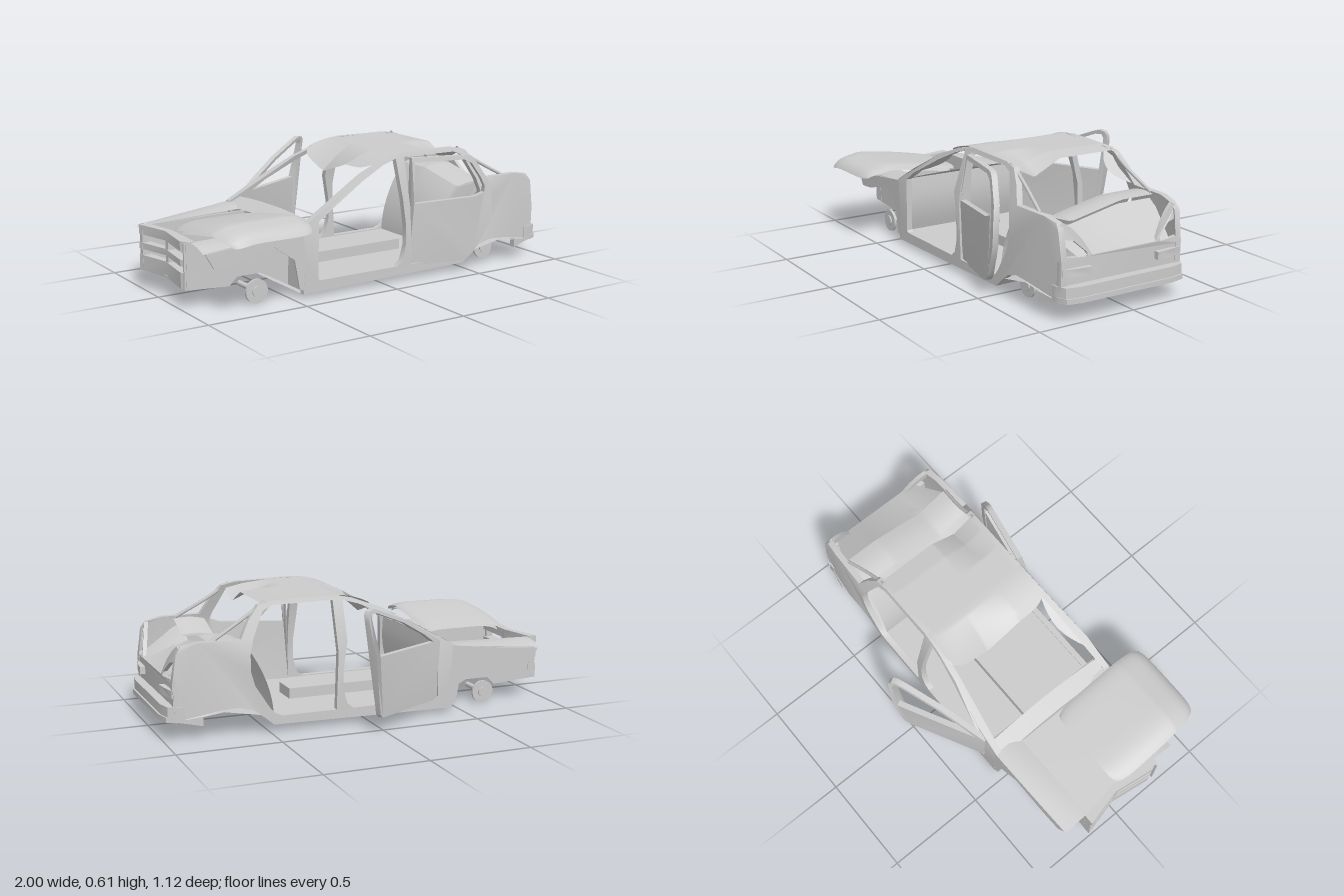
import * as THREE from 'three';
import { ParametricGeometry } from 'three/addons/geometries/ParametricGeometry.js';
import { toCreasedNormals } from 'three/addons/utils/BufferGeometryUtils.js';

const MAT = new THREE.MeshStandardMaterial({ color: 0xcccccc, side: THREE.DoubleSide });
const ZC = 0.03; // centre plane of the body
const V = (p) => p.map(([a, b]) => new THREE.Vector2(a, b));
const lerp = THREE.MathUtils.lerp;

function add(parent, name, geo) {
  const m = new THREE.Mesh(geo, MAT);
  m.name = name;
  parent.add(m);
  return m;
}
function box(parent, name, x0, x1, y0, y1, z0, z1) {
  add(parent, name, new THREE.BoxGeometry(x1 - x0, y1 - y0, z1 - z0))
    .position.set((x0 + x1) / 2, (y0 + y1) / 2, (z0 + z1) / 2);
}
// Extruded outline with holes
function plate(pts, holes, depth) {
  const s = new THREE.Shape(V(pts));
  holes.forEach((h) => s.holes.push(new THREE.Path(V(h))));
  return new THREE.ExtrudeGeometry(s, { depth, bevelEnabled: false });
}
function warp(geo, fn) {
  const p = geo.attributes.position;
  for (let i = 0; i < p.count; i++) p.setXYZ(i, ...fn(p.getX(i), p.getY(i), p.getZ(i)));
  return toCreasedNormals(geo, 0.6);
}
// Surface from a rule over u, v in 0..1
function sheet(parent, name, nu, nv, fn) {
  return add(parent, name, new ParametricGeometry((u, v, t) => t.set(...fn(u, v)), nu, nv));
}
// Bar with an [x, z] outline seen from above
function beam(parent, name, pts, y0, y1) {
  add(parent, name, warp(plate(pts, [], y1 - y0), (x, z, d) => [x, y0 + d, z]));
}
function rod(parent, name, pts, r) {
  const curve = new THREE.CatmullRomCurve3(pts.map((p) => new THREE.Vector3(...p)));
  add(parent, name, new THREE.TubeGeometry(curve, 12, r, 6));
}

// Half width of the body: leaning in above the waist, tapering to both ends
const half = (x, y) => 0.36 - Math.max(0, y - 0.4) * 0.33
  - Math.max(0, x - 0.8) * 0.2 - Math.max(0, -0.45 - x) * 0.04;
const bodyPanel = (pts, holes, t) =>
  warp(plate(pts, holes, t), (x, y, z) => [x, y, half(x, y) - t + z]);

// Bent flange bulging inwards from a pillar between two [x, y] points
function flange(parent, name, [x0, y0], [x1, y1], depth) {
  sheet(parent, name, 10, 3, (u, v) => {
    const x = lerp(x0, x1, u);
    const y = lerp(y0, y1, u) - 0.015 * v * Math.sin(u * Math.PI);
    return [x, y, half(x, y) - 0.02 - v * depth * Math.sin(u * Math.PI)];
  });
}

const SIDE = [[-0.45, 0.02], [0.48, 0.035], [0.52, 0.07], [0.58, 0.115], [0.65, 0.135], [0.74, 0.13],
  [0.82, 0.11], [0.82, 0.065], [0.95, 0.09], [0.955, 0.26], [0.935, 0.4], [0.91, 0.435], [0.83, 0.45],
  [0.63, 0.45], [0.585, 0.53], [0.53, 0.595], [0.46, 0.61], [0.16, 0.615], [0.05, 0.592], [-0.1, 0.535],
  [-0.3, 0.425], [-0.46, 0.335], [-0.44, 0.17]];
const FRONT_OPENING = [[-0.37, 0.085], [-0.36, 0.075], [0.08, 0.075], [0.11, 0.1], [0.13, 0.17], [0.13, 0.27],
  [0.11, 0.4], [0.11, 0.59], [0.03, 0.567], [-0.1, 0.508], [-0.29, 0.405], [-0.365, 0.355]];
const REAR_OPENING = [[0.165, 0.075], [0.44, 0.075], [0.475, 0.09], [0.5, 0.12], [0.57, 0.23], [0.59, 0.3],
  [0.59, 0.38], [0.57, 0.45], [0.51, 0.57], [0.46, 0.59], [0.16, 0.593], [0.155, 0.35]];
const FENDER = [[-0.94, 0.275], [-0.7, 0.3], [-0.45, 0.333], [-0.43, 0.03], [-0.47, 0.05], [-0.495, 0.19],
  [-0.6, 0.265], [-0.72, 0.235], [-0.8, 0.212], [-0.9, 0.205]];
const BAY_WALL = [[-0.985, 0.09], [-0.76, 0.075], [-0.72, 0.115], [-0.6, 0.115], [-0.54, 0.085],
  [-0.45, 0.035], [-0.44, 0.31], [-0.985, 0.305]];
// Underside profile from firewall to tail
const PAN = [[-0.45, 0.02], [0.48, 0.036], [0.53, 0.085], [0.72, 0.12], [0.85, 0.1], [0.955, 0.085]];

// Door in local space: hinge at x = 0, swinging towards +z
function door(parent, name, outline, win, x, z, angle, lean) {
  const g = new THREE.Group();
  g.name = name;
  g.position.set(x, 0, z);
  g.rotation.y = angle;
  const bend = (u, y, d) => [u, y, d - 0.028 - Math.max(0, y - 0.37) * lean - Math.max(0, 0.2 - y) * 0.12];
  add(g, 'doorShell', warp(plate(outline, [win], 0.028), bend));
  parent.add(g);
}

function bodySide(parent, s) {
  const g = new THREE.Group();
  g.name = s > 0 ? 'nearSide' : 'farSide';
  g.position.z = ZC;
  g.scale.z = s;
  parent.add(g);
  add(g, 'sideFrame', bodyPanel(SIDE, [FRONT_OPENING, REAR_OPENING], 0.03));
  add(g, 'fender', bodyPanel(FENDER, [], 0.008));
  add(g, 'engineBayWall', plate(BAY_WALL, [], 0.01)).position.z = 0.208;
  // Creased fender top between bay wall and outer skin
  sheet(g, 'fenderTop', 10, 4, (u, v) => {
    const x = lerp(-0.95, -0.45, u);
    const y = lerp(0.306, 0.32, u) + v * lerp(-0.028, 0.012, u) + 0.006 * Math.sin(v * Math.PI);
    return [x, y, lerp(0.213, half(x, 0.3) - 0.003, v)];
  });
  rod(g, 'rearWindowPillar', [[0.49, 0.605, 0.28], [0.6, 0.535, 0.285], [0.76, 0.445, 0.31]], 0.009);
  // Brake discs with stub axles; the far rear one is torn off
  const discs = [[-0.665, 0.058, 0.16], [0.655, 0.08, 0.05]].slice(0, s > 0 ? 2 : 1);
  for (const [x, y, stub] of discs) {
    const z = 0.285 + 0.015 * s;
    for (const [name, r, h, dz] of [['brakeDisc', 0.057, 0.012, 0], ['hub', 0.025, 0.026, 0], ['stubAxle', 0.013, stub, -stub / 2]]) {
      const d = add(g, name, new THREE.CylinderGeometry(r, r, h, 24));
      d.rotation.x = Math.PI / 2;
      d.position.set(x, y, z + dz);
    }
  }
  if (s > 0) {
    flange(g, 'bentWindscreenPillar', [-0.36, 0.385], [0, 0.57], 0.06);
    door(g, 'rearDoor',
      [[0, 0.065], [0.28, 0.06], [0.32, 0.07], [0.35, 0.1], [0.42, 0.205], [0.443, 0.27], [0.45, 0.36],
        [0.43, 0.45], [0.36, 0.56], [0.34, 0.578], [0.31, 0.585], [0.02, 0.59], [0, 0.38]],
      [[0.02, 0.372], [0.35, 0.382], [0.4, 0.4], [0.405, 0.43], [0.385, 0.475], [0.34, 0.545], [0.3, 0.565], [0.035, 0.568]],
      0.155, 0.36, -0.195, 0.15);
  } else {
    flange(g, 'bentRearPillar', [0.44, 0.605], [0.62, 0.45], 0.07);
    door(g, 'frontDoor',
      [[0, 0.07], [0.42, 0.065], [0.44, 0.08], [0.452, 0.12], [0.488, 0.36], [0.51, 0.53], [0.51, 0.56], [0.497, 0.58],
        [0.47, 0.587], [0.43, 0.575], [0.25, 0.505], [0.1, 0.425], [0, 0.365]],
      [[0.05, 0.367], [0.462, 0.367], [0.49, 0.54], [0.48, 0.565], [0.445, 0.563], [0.26, 0.491], [0.12, 0.415]],
      -0.375, 0.365, -0.475, 0.17);
  }
}

// Bonnet surface: ridge along z = 0.41, falling away to both sides
function bonnet(u, v, inset, drop) {
  const a = u * 2 - 1;
  const b = v * 2 - 1;
  const x = -0.71 + a * (0.23 - inset - 0.02 * b ** 8 - (a < 0 ? 0.03 * v ** 3 : 0));
  const z = 0.29 + b * (0.272 - inset - 0.015 * a ** 8);
  const fall = z < 0.41 ? 0.06 * ((0.41 - z) / 0.38) ** 1.3
    : 0.025 * (z - 0.41) / 0.15 + 0.035 * ((z - 0.41) / 0.15) ** 6;
  const nose = a < 0 ? 0.035 * a ** 4 : 0.015 * a ** 8;
  return [x, 0.41 - fall - nose - drop, z];
}

export function createModel() {
  const car = new THREE.Group();
  car.name = 'wreckedSaloon';
  [1, -1].forEach((s) => bodySide(car, s));

  // Roof, dented at the front and rear edges
  sheet(car, 'roof', 32, 40, (u, v) => {
    const s = v * 2 - 1;
    const x = lerp(-0.06 + 0.05 * s ** 8, 0.51, u);
    const base = 0.613 - 1.4 * Math.max(0, 0.15 - x) ** 2 - Math.max(0, x - 0.42) * 0.15;
    const z = ZC + s * (half(0, base) - 0.006);
    const front = 0.065 * Math.max(0, 1 - Math.abs(z + 0.05) / 0.2) * Math.max(0, 1 - u / 0.3);
    const rear = 0.07 * Math.max(0, 1 - Math.abs(z - 0.2) / 0.14) * Math.max(0, (u - 0.6) / 0.4);
    return [x, base - front - rear, z];
  });

  // Underside, cabin floor, tunnel, firewall and cowl
  const last = PAN.length - 1;
  sheet(car, 'underbody', last, 1, (u, v) => {
    const [x, y] = PAN[Math.round(u * last)];
    return [x, y, ZC + (v * 2 - 1) * (half(x, y) - 0.005)];
  });
  sheet(car, 'cabinFloor', 1, 1, (u, v) => [lerp(-0.42, 0.48, u), 0.07, ZC + 0.335 * (v * 2 - 1)]);
  box(car, 'tunnel', -0.37, 0.3, 0.07, 0.122, -0.045, 0.1);
  sheet(car, 'firewall', 1, 1, (u, v) => [-0.44, lerp(0.03, 0.33, u), ZC + 0.34 * (v * 2 - 1)]);
  sheet(car, 'cowl', 6, 12, (u, v) => {
    const s = v * 2 - 1;
    return [lerp(-0.47, -0.385, u) - 0.01 * s * s, lerp(0.315, 0.352, u) + 0.01 * (1 - s * s), ZC + 0.34 * s];
  });
  sheet(car, 'dashboard', 6, 8, (u, v) =>
    [-0.385 + 0.02 * Math.sin(u * Math.PI) - 0.035 * u, lerp(0.352, 0.06, u), ZC + 0.335 * (v * 2 - 1)]);

  // Rear seat bulkhead, buckled parcel shelf overhanging the sloping boot panel
  const fold = (z) => 0.438 - 0.058 * Math.max(0, 1 - (z > 0.18 ? (z - 0.18) / 0.17 : (0.18 - z) / 0.28));
  sheet(car, 'rearBulkhead', 8, 16, (u, v) => {
    const z = ZC + 0.33 * (v * 2 - 1);
    return [0.47 + 0.14 * u ** 2, lerp(0.05, fold(z) - 0.012, u), z];
  });
  sheet(car, 'parcelShelf', 8, 24, (u, v) => {
    const z = ZC + 0.33 * (v * 2 - 1);
    return [lerp(0.61, 0.77, u), fold(z) + 0.01 * Math.sin(u * Math.PI) - 0.012 * (1 - u), z];
  });
  sheet(car, 'bootPanel', 8, 24, (u, v) => {
    const z = ZC + (v * 2 - 1) * lerp(0.33, 0.25, u);
    return [lerp(0.74, 0.965, u), lerp(fold(z) - 0.025, 0.286, u), z];
  });

  // Tail panel with empty upper lamp openings and raised lower lamps, drawn as [z offset, y]
  const mirror = (p) => p.map(([a, b]) => [-a, b]);
  const right = [[0.175, 0.285], [0.22, 0.36], [0.265, 0.41], [0.3, 0.435], [0.325, 0.42], [0.333, 0.25], [0.333, 0.09]];
  const lamp = [[0.2, 0.28], [0.2, 0.3], [0.26, 0.355], [0.315, 0.365], [0.315, 0.32], [0.3, 0.285]];
  const lower = [[0.18, 0.2], [0.25, 0.2], [0.325, 0.2], [0.325, 0.236], [0.25, 0.236], [0.18, 0.236]];
  const tailCurve = (a, y, d) =>
    [0.955 + d - Math.max(0, y - 0.25) * 0.2 - 0.025 * (Math.abs(a) / 0.33) ** 4, y, ZC + a];
  add(car, 'tailPanel', warp(plate([...right, ...mirror(right).reverse()], [lamp, mirror(lamp)], 0.02), tailCurve));
  [lower, mirror(lower)].forEach((p) => add(car, 'lowerLamp', warp(plate(p, [], 0.026), tailCurve)));

  // Rear bumper steps
  const bumper = (x) => [[x - 0.06, -0.31], [x - 0.015, -0.29], [x, -0.22], [x, 0.28], [x - 0.015, 0.35],
    [x - 0.06, 0.37], [0.9, 0.37], [0.9, -0.31]];
  beam(car, 'rearBumperUpper', bumper(0.992), 0.11, 0.16);
  beam(car, 'rearBumperLower', bumper(1), 0.088, 0.112);

  // Engine bay floor and pushed-in nose bars
  sheet(car, 'engineBayFloor', 4, 2, (u, v) => [lerp(-0.96, -0.43, u), lerp(0.1, 0.13, u), lerp(-0.185, 0.245, v)]);
  const nose = [[-1, -0.19], [-0.955, 0], [-0.985, 0.21], [-0.965, 0.25], [-0.93, 0.25], [-0.92, 0], [-0.955, -0.19]];
  [[0.09, 0.165], [0.195, 0.225], [0.265, 0.31]].forEach(([a, b]) => beam(car, 'noseBar', nose, a, b));
  [[-0.995, -0.19], [-0.955, 0.0], [-0.975, 0.225]].forEach(([x, z]) =>
    box(car, 'nosePost', x, x + 0.035, 0.1, 0.3, z, z + 0.025));

  // Bonnet thrown sideways over the near fender, with its inner skin
  sheet(car, 'bonnet', 20, 28, (u, v) => bonnet(u, v, 0, 0));
  sheet(car, 'bonnetLiner', 20, 28, (u, v) => bonnet(u, v, 0.015, 0.018));
  return car;
}
